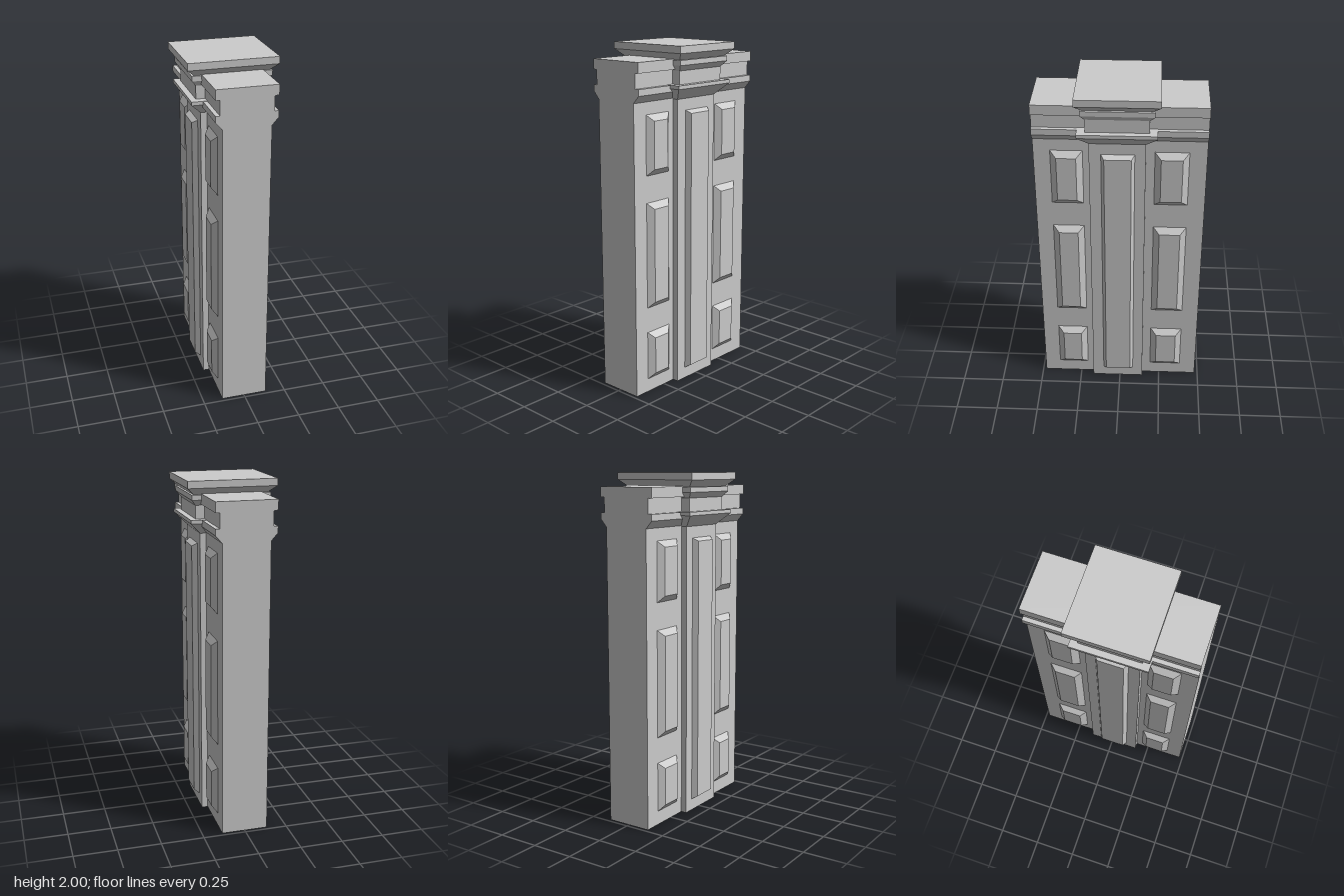
import * as THREE from 'three';

const material = new THREE.MeshStandardMaterial({ color: 0xcccccc, flatShading: true });

function part(name, geometry) {
  const mesh = new THREE.Mesh(geometry, material);
  mesh.name = name;
  return mesh;
}

// Closed solid through stacked rectangles, each given as [y, halfWidthX, zBack, zFront]
function stack(rings) {
  const pos = [];
  const quad = (a, b, c, d) => pos.push(...a, ...b, ...c, ...a, ...c, ...d);
  const loops = rings.map(([y, x, z0, z1]) => [[-x, y, z1], [x, y, z1], [x, y, z0], [-x, y, z0]]);
  for (let i = 0; i < loops.length - 1; i++) {
    const lo = loops[i], hi = loops[i + 1];
    for (let k = 0; k < 4; k++) {
      const n = (k + 1) % 4;
      quad(lo[k], lo[n], hi[n], hi[k]);
    }
  }
  quad(...loops[loops.length - 1]);
  quad(...[...loops[0]].reverse());
  const g = new THREE.BufferGeometry();
  g.setAttribute('position', new THREE.Float32BufferAttribute(pos, 3));
  g.computeVertexNormals();
  return g;
}

// Raised panel on a side wall: a box whose outer face is drawn in to form the bevel
function raisedPanel(side, xIn, xOut, y0, y1, z0, z1, bevel) {
  const g = new THREE.BoxGeometry(1, 1, 1);
  const p = g.attributes.position;
  for (let i = 0; i < p.count; i++) {
    const outer = p.getX(i) * side > 0;
    const inset = outer ? bevel : 0;
    p.setXYZ(i,
      side * (outer ? xOut : xIn),
      p.getY(i) > 0 ? y1 - inset : y0 + inset,
      p.getZ(i) > 0 ? z1 - inset : z0 + inset);
  }
  g.computeVertexNormals();
  return g;
}

export function createModel() {
  const model = new THREE.Group();
  model.name = 'panelledPier';

  // Wall with its cornice, one profile run from back to front
  const half = [[0.135, 0], [0.135, 1.705], [0.172, 1.747], [0.172, 1.783],
    [0.148, 1.783], [0.148, 1.867], [0.172, 1.867], [0.172, 1.925]];
  const outline = [...half, ...half.map(([x, y]) => [-x, y]).reverse()];
  const shape = new THREE.Shape(outline.map(([x, y]) => new THREE.Vector2(x, y)));
  const wall = new THREE.ExtrudeGeometry(shape, { depth: 0.96, bevelEnabled: false });
  wall.translate(0, 0, -0.48);
  model.add(part('wall', wall));

  // Pilaster shaft crossing the wall
  model.add(part('pilasterShaft', stack([[0, 0.17, -0.142, 0.17], [1.7, 0.17, -0.142, 0.17]])));

  // Moulded capital: lower collar, neck, upper collar and cap
  model.add(part('capital', stack([
    [1.7, 0.17, -0.142, 0.17],
    [1.765, 0.235, -0.205, 0.232],
    [1.785, 0.235, -0.205, 0.232],
    [1.785, 0.2, -0.162, 0.187],
    [1.86, 0.2, -0.162, 0.187],
    [1.892, 0.226, -0.19, 0.21],
    [1.92, 0.226, -0.19, 0.21],
    [1.92, 0.212, -0.178, 0.2],
    [1.96, 0.256, -0.22, 0.24],
    [2, 0.256, -0.22, 0.24],
  ])));

  // Raised panels on both sides: one tall on the pilaster, three on each wall half
  const rows = [['lower', 0.08, 0.37], ['middle', 0.52, 1.14], ['upper', 1.295, 1.635]];
  const columns = [['Front', 0.207, 0.387], ['Back', -0.382, -0.192]];
  for (const side of [1, -1]) {
    const hand = side > 0 ? 'Left' : 'Right';
    model.add(part(`pilasterPanel${hand}`, raisedPanel(side, 0.16, 0.2, 0.062, 1.64, -0.088, 0.11, 0.024)));
    for (const [row, y0, y1] of rows)
      for (const [column, z0, z1] of columns)
        model.add(part(`${row}Panel${column}${hand}`, raisedPanel(side, 0.135, 0.165, y0, y1, z0, z1, 0.035)));
  }
  return model;
}
